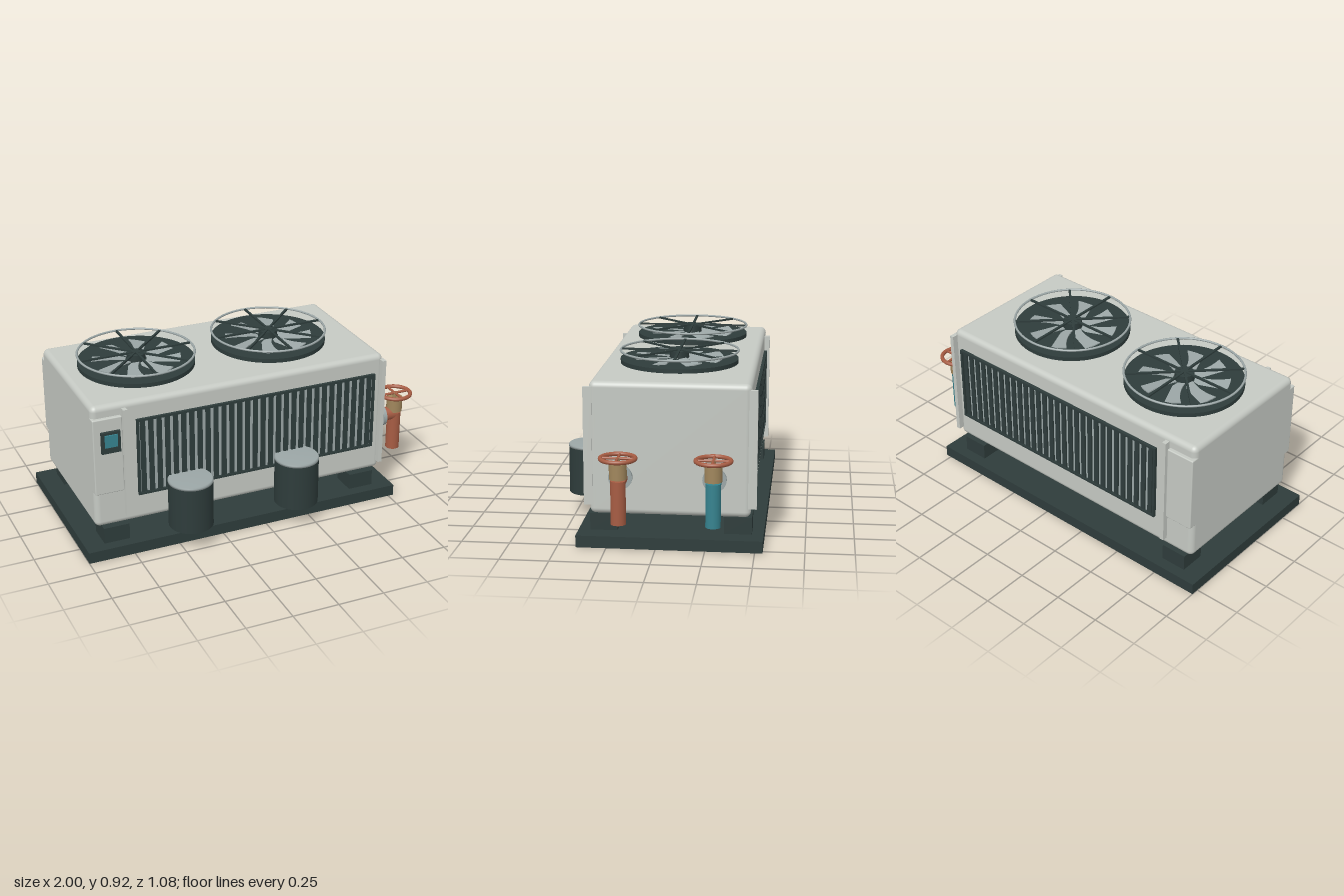
import * as THREE from 'three';
import { RoundedBoxGeometry } from 'three/addons/geometries/RoundedBoxGeometry.js';

const mat = (name, color) => Object.assign(new THREE.MeshStandardMaterial({ color }), { name });

export function createModel() {
  const casing = mat('casing grey', 0xc5c9c3);
  const dark = mat('dark slate', 0x2e3c3b);
  const steel = mat('steel grey', 0x9ba6a6);
  const copper = mat('copper red', 0xa65c43);
  const brass = mat('brass', 0xa0865c);
  const teal = mat('teal', 0x36838f);

  const model = new THREE.Group();
  model.name = 'chillerUnit';

  const add = (parent, name, geometry, material, x = 0, y = 0, z = 0) => {
    const mesh = new THREE.Mesh(geometry, material);
    mesh.name = name;
    mesh.position.set(x, y, z);
    parent.add(mesh);
    return mesh;
  };
  // Box given by its limits on each axis
  const box = (parent, name, material, [x0, x1], [y0, y1], [z0, z1], radius = 0) => {
    const size = [x1 - x0, y1 - y0, z1 - z0];
    const geometry = radius ? new RoundedBoxGeometry(...size, 4, radius) : new THREE.BoxGeometry(...size);
    return add(parent, name, geometry, material, (x0 + x1) / 2, (y0 + y1) / 2, (z0 + z1) / 2);
  };
  const group = (name, x = 0, y = 0, z = 0) => {
    const g = new THREE.Group();
    g.name = name;
    g.position.set(x, y, z);
    model.add(g);
    return g;
  };
  const cyl = (r, h, seg = 32) => new THREE.CylinderGeometry(r, r, h, seg);

  const midZ = -0.068; // centre of the casing in depth

  // Base slab, feet and casing
  box(model, 'base', dark, [-1, 0.78], [0, 0.062], [-0.54, 0.405]);
  for (const x of [-0.825, 0.603])
    for (const z of [0.275, -0.41])
      box(model, 'foot', dark, [x - 0.07, x + 0.07], [0.062, 0.15], [z - 0.07, z + 0.07]);
  box(model, 'casing', casing, [-0.935, 0.715], [0.16, 0.845], [-0.475, 0.34], 0.03);

  // Louvres, posts and cabinet panels, mirrored on front and back
  for (const side of [1, -1]) {
    const g = group(side > 0 ? 'frontPanels' : 'backPanels', 0, 0, midZ);
    const depth = (a, b) => (side > 0 ? [a, b] : [-b, -a]);
    const face = 0.408;
    box(g, 'grilleBacking', steel, [-0.69, 0.65], [0.32, 0.73], depth(face - 0.01, face + 0.003));
    for (const y of [0.31, 0.73])
      box(g, 'grilleRail', dark, [-0.7, 0.66], [y, y + 0.012], depth(face - 0.01, face + 0.016));
    for (const x of [-0.7, 0.648])
      box(g, 'grilleStile', dark, [x, x + 0.012], [0.31, 0.742], depth(face - 0.01, face + 0.016));
    const count = 30, pitch = 1.34 / count;
    for (let i = 0; i < count; i++) {
      const x = -0.69 + (i + 0.5) * pitch;
      box(g, 'louvre', dark, [x - 0.013, x + 0.013], [0.32, 0.732], depth(face - 0.01, face + 0.012));
    }
    for (const x of [-0.775, 0.693])
      box(g, 'post', casing, [x, x + 0.023], [0.208, 0.817], depth(0.393, 0.437));
    box(g, 'cabinetPanel', casing, [-0.935, -0.778], [0.36, 0.783], depth(0.37, 0.427), 0.006);
  }

  // Control display
  box(model, 'displayHousing', dark, [-0.896, -0.795], [0.597, 0.713], [0.35, 0.377]);
  box(model, 'displayScreen', teal, [-0.88, -0.813], [0.633, 0.7], [0.377, 0.385]);

  // Compressor cans
  for (const x of [-0.44, 0.168]) {
    const g = group('compressor', x, 0, 0.418);
    add(g, 'can', cyl(0.118, 0.252, 40), dark, 0, 0.246, 0);
    const lid = [[0, 0.372], [0.119, 0.372], [0.119, 0.383], [0.113, 0.389], [0, 0.39]];
    add(g, 'canLid', new THREE.LatheGeometry(lid.map(p => new THREE.Vector2(...p)), 40), steel);
  }

  // Roof fans with swept blades and a wire guard
  const bladeShape = new THREE.Shape();
  bladeShape.moveTo(0.055, -0.02);
  bladeShape.quadraticCurveTo(0.15, -0.08, 0.225, -0.07);
  bladeShape.quadraticCurveTo(0.24, -0.01, 0.232, 0.05);
  bladeShape.quadraticCurveTo(0.14, 0.005, 0.055, 0.02);
  const bladeGeometry = new THREE.ExtrudeGeometry(bladeShape, { depth: 0.006, bevelEnabled: false, curveSegments: 6 });
  bladeGeometry.rotateX(-Math.PI / 2 + 0.16);
  for (const x of [-0.543, 0.22]) {
    const g = group('fan', x, 0, midZ);
    add(g, 'fanBase', cyl(0.31, 0.022, 64), dark, 0, 0.865, 0);
    for (let i = 0; i < 8; i++) {
      const blade = add(g, 'fanBlade', bladeGeometry, steel, 0, 0.876, 0);
      blade.rotation.y = (i + 0.5) * Math.PI / 4;
    }
    add(g, 'fanHub', cyl(0.05, 0.045), dark, 0, 0.893, 0);
    const rim = add(g, 'guardRim', new THREE.TorusGeometry(0.309, 0.006, 8, 64), steel, 0, 0.918, 0);
    rim.rotation.x = Math.PI / 2;
    for (let i = 0; i < 4; i++) {
      const spoke = add(g, 'guardSpoke', new THREE.BoxGeometry(0.61, 0.009, 0.012), dark, 0, 0.917, 0);
      spoke.rotation.y = i * Math.PI / 4;
    }
  }

  // Pipe connections with valves and handwheels
  for (const [z, pipe] of [[0.168, copper], [-0.3, teal]]) {
    const g = group('pipeConnection', 0.898, 0, z);
    add(g, 'sidePipe', cyl(0.038, 0.165), pipe, -0.0855, 0.385, 0).rotation.z = Math.PI / 2;
    add(g, 'flange', cyl(0.06, 0.02), steel, -0.084, 0.385, 0).rotation.z = Math.PI / 2;
    add(g, 'dropPipe', cyl(0.038, 0.222), pipe, 0, 0.281, 0);
    add(g, 'valveBody', cyl(0.044, 0.08), brass, 0, 0.441, 0);
    add(g, 'valveStem', cyl(0.012, 0.04, 16), brass, 0, 0.49, 0);
    add(g, 'wheelRim', new THREE.TorusGeometry(0.086, 0.011, 12, 40), copper, 0, 0.505, 0).rotation.x = Math.PI / 2;
    for (const axis of ['x', 'z']) {
      const spoke = add(g, 'wheelSpoke', cyl(0.007, 0.17, 12), copper, 0, 0.505, 0);
      spoke.rotation[axis] = Math.PI / 2;
    }
  }
  return model;
}
